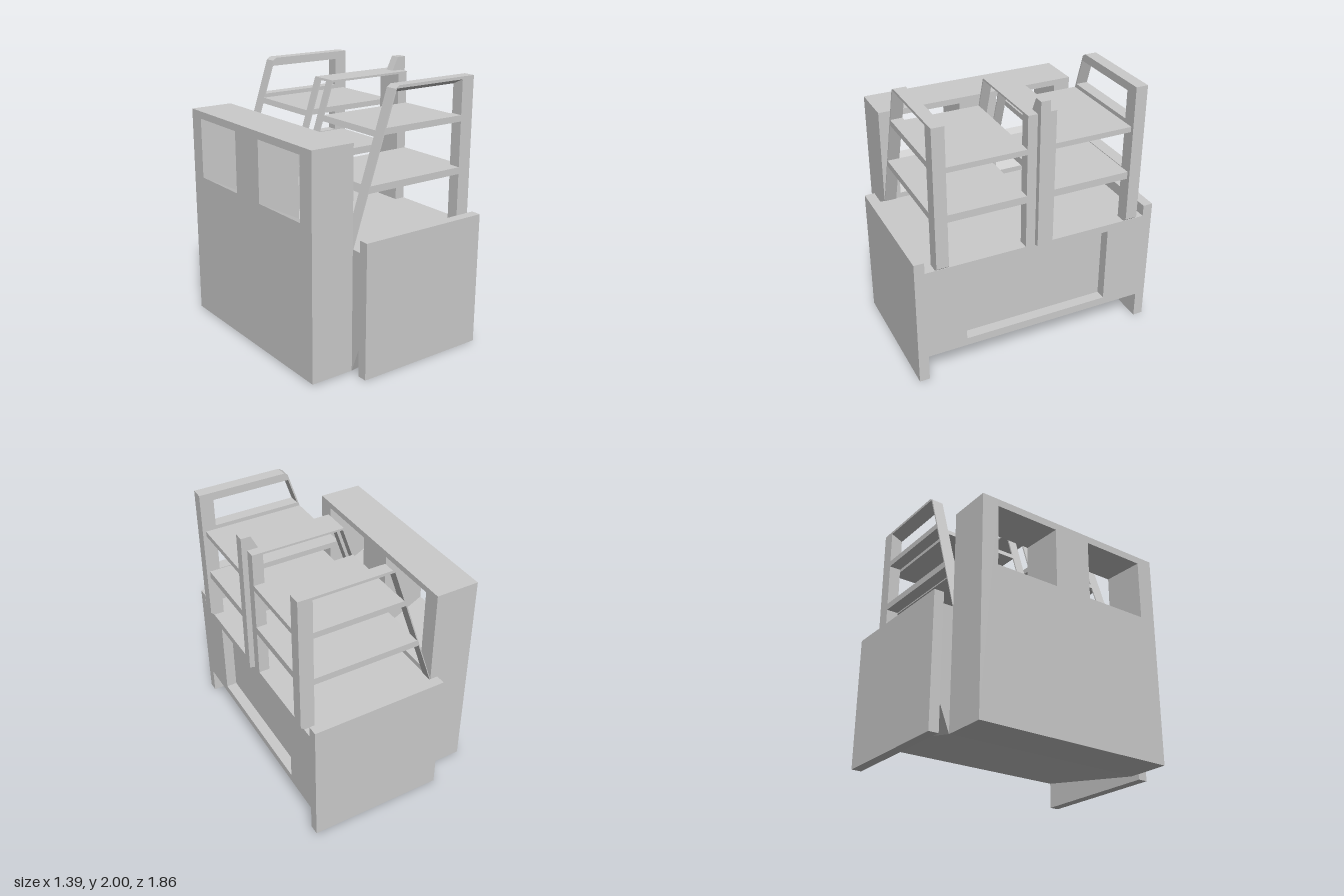
import * as THREE from 'three';
import { ConvexGeometry } from 'three/addons/geometries/ConvexGeometry.js';

const material = new THREE.MeshStandardMaterial({ color: 0xcccccc, flatShading: true });

export function createModel() {
  const model = new THREE.Group();

  const add = (name, geometry) => {
    const mesh = new THREE.Mesh(geometry, material);
    mesh.name = name;
    model.add(mesh);
    return mesh;
  };
  const box = (name, x0, x1, y0, y1, z0, z1) =>
    add(name, new THREE.BoxGeometry(x1 - x0, y1 - y0, z1 - z0))
      .position.set((x0 + x1) / 2, (y0 + y1) / 2, (z0 + z1) / 2);
  const toShape = (pts) => new THREE.Shape(pts.map(([x, y]) => new THREE.Vector2(x, y)));
  // Side profile in x/y, extruded from z0 to z1
  const prism = (name, pts, z0, z1) => {
    const geo = new THREE.ExtrudeGeometry(toShape(pts), { depth: z1 - z0, bevelEnabled: false });
    add(name, geo.translate(0, 0, z0));
  };
  // The same profile on both sides of the middle
  const pair = (name, pts, z0, z1) => {
    prism(name, pts, z0, z1);
    prism(name, pts, -z1, -z0);
  };
  const rect = (x0, x1, y0, y1) => [[x0, y0], [x1, y0], [x1, y1], [x0, y1]];
  const hull = (name, pts) => add(name, new ConvexGeometry(pts.map((p) => new THREE.Vector3(...p))));

  // Tall back wall with two windows whose sills slope down to the inside
  prism('wallCentre', rect(-0.7, -0.37, 0.01, 1.63), -0.15, 0.15);
  pair('wallEnd', rect(-0.7, -0.37, 0.01, 1.63), 0.65, 0.78);
  pair('windowSill', [[-0.7, 0.01], [-0.37, 0.01], [-0.37, 0.945], [-0.7, 1.12]], 0.15, 0.65);
  pair('windowLintel', [[-0.7, 1.575], [-0.37, 1.585], [-0.37, 1.63], [-0.7, 1.63]], 0.15, 0.65);

  // Base: solid body, front frame around a recessed panel, sloping underside
  box('body', -0.37, 0.57, 0.2, 0.905, -0.855, 0.855);
  const frame = toShape(rect(-0.855, 0.855, 0.2, 0.905));
  frame.holes.push(new THREE.Path(rect(-0.56, 0.56, 0.26, 0.85).map((p) => new THREE.Vector2(...p))));
  const frameGeo = new THREE.ExtrudeGeometry(frame, { depth: 0.08, bevelEnabled: false });
  add('recessFrame', frameGeo.rotateY(Math.PI / 2).translate(0.57, 0, 0));
  hull('underside', [
    [0.65, 0.2, 0.855], [0.65, 0.2, -0.855], [-0.37, 0.2, 0.855], [-0.37, 0.2, -0.855],
    [-0.37, 0.01, 0.78], [-0.37, 0.01, -0.78],
  ]);
  pair('sidePanel', rect(-0.37, 0.65, 0, 0.99), 0.855, 0.93);

  // Thin slanted legs; legX follows their outer face
  const legX = (y) => -0.37 + (y - 0.905) * 0.328;
  const leg = (top) => [
    [legX(0.905), 0.905], [legX(0.905) + 0.006, 0.905], [legX(top) + 0.012, top], [legX(top), top],
  ];
  pair('outerLeg', leg(1.94), 0.69, 0.78);
  pair('innerLeg', leg(1.9), 0.035, 0.105);

  // Outer frames: post, bevelled top rail and two side rails
  pair('outerPost', [[0.57, 0.905], [0.645, 0.905], [0.675, 0.93], [0.675, 1.96], [0.57, 1.96]], 0.69, 0.78);
  for (const s of [-1, 1]) {
    hull('topRail', [
      [legX(1.94), 1.94, s * 0.78], [0.6, 1.94, s * 0.78], [legX(1.9), 1.9, s * 0.69], [0.6, 1.9, s * 0.69],
      [0, 1.96, s * 0.78], [0.6, 1.96, s * 0.78], [0, 1.96, s * 0.69], [0.6, 1.96, s * 0.69],
      [legX(1.94), 1.94, s * 0.69],
    ]);
  }

  // Shelves and side rails, cut to the slope of the legs
  const slopedBar = (y0, y1, x1) => [[legX(y0), y0], [x1, y0], [x1, y1], [legX(y1), y1]];
  for (const [shelf0, shelf1, rail0, rail1] of [[1.255, 1.31, 1.265, 1.315], [1.62, 1.66, 1.645, 1.69]]) {
    pair('shelf', slopedBar(shelf0, shelf1, 0.65), 0.105, 0.69);
    pair('sideRail', slopedBar(rail0, rail1, 0.58), 0.69, 0.78);
  }

  // Centre: two posts, a thin top plank and a taller post with a slanted head
  pair('innerPost', rect(0.57, 0.65, 0.905, 1.9), 0.035, 0.105);
  prism('topPlank', slopedBar(1.885, 1.9, 0.65), -0.105, 0.105);
  prism('centrePost',
    [[0.57, 0.905], [0.65, 0.905], [0.69, 0.915], [0.69, 2], [0.62, 2], [0.57, 1.9]], -0.035, 0.035);

  return model;
}
